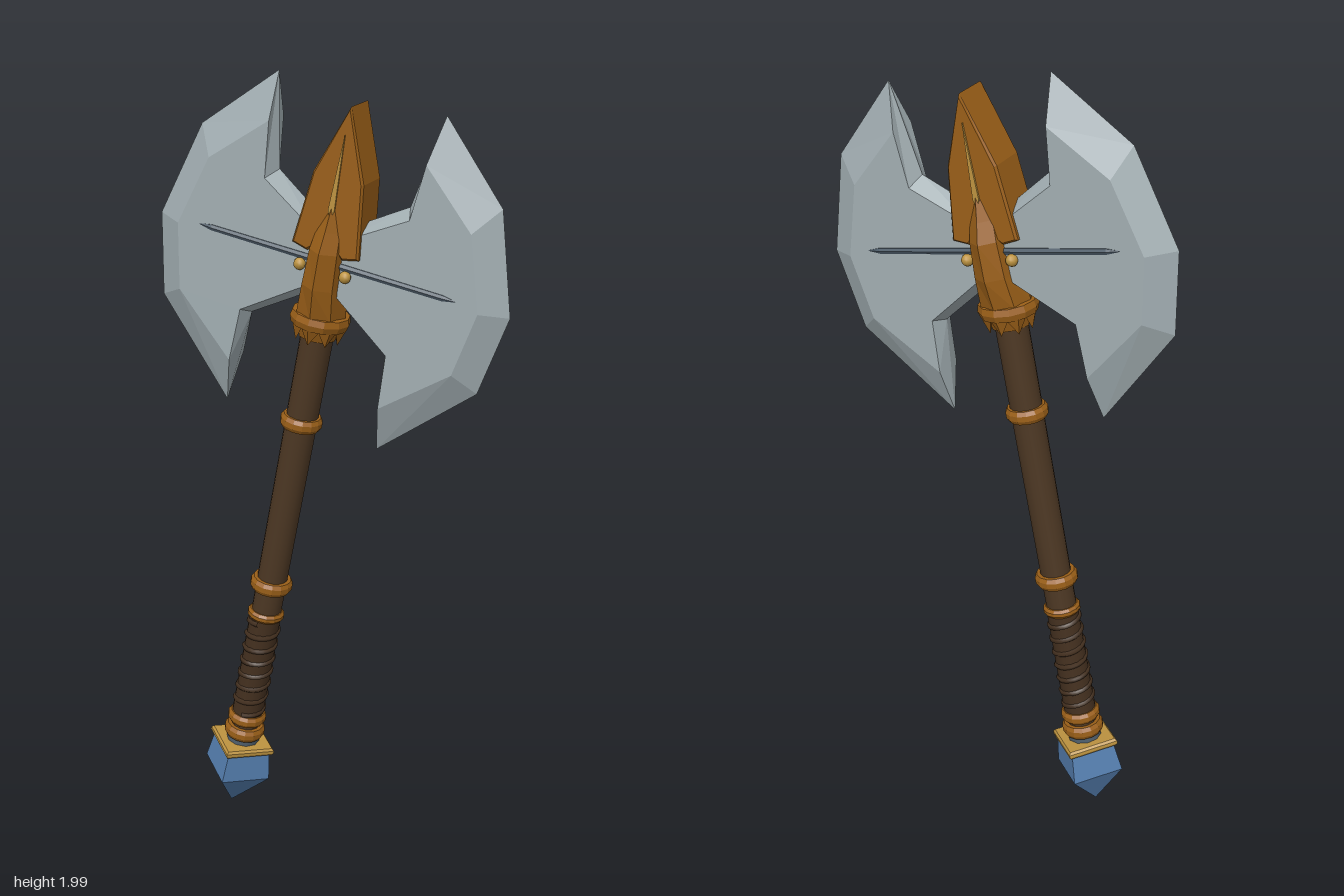
import * as THREE from 'three';

const mat = (name, color) => {
  const m = new THREE.MeshStandardMaterial({ color });
  m.name = name;
  return m;
};

// Faceted normals
function flat(geo) {
  const g = geo.index ? geo.toNonIndexed() : geo;
  g.computeVertexNormals();
  return g;
}

// Stacked rings [height, half width, half depth] with n sides
function loft(rings, n) {
  const geo = new THREE.LatheGeometry(rings.map(([y, rx]) => new THREE.Vector2(rx, y)), n);
  const p = geo.attributes.position;
  for (let i = 0; i < p.count; i++) {
    const [, rx, rz = rx] = rings[i % rings.length];
    if (rx > 0) p.setZ(i, p.getZ(i) * rz / rx);
  }
  return flat(geo);
}

// Axe blade: sharp rim on the middle plane, flat cheeks on both sides
function bladeGeometry() {
  const rim = [[0.21, 1.981], [0.384, 1.81], [0.457, 1.567], [0.42, 1.364], [0.205, 1.146],
    [0.178, 1.39], [0.03, 1.49], [0.03, 1.665], [0.168, 1.755]].reverse();
  const cheek = [[0.198, 1.87], [0.335, 1.745], [0.39, 1.567], [0.36, 1.405], [0.2, 1.266],
    [0.193, 1.402], [0.03, 1.515], [0.03, 1.64], [0.185, 1.735]].reverse();
  const pos = [];
  const tris = THREE.ShapeUtils.triangulateShape(cheek.map(c => new THREE.Vector2(...c)), []);
  for (const s of [1, -1]) {
    const face = (a, b, c) => pos.push(...a, ...(s > 0 ? b : c), ...(s > 0 ? c : b));
    const C = cheek.map(([x, y]) => [x, y, 0.042 * s]);
    const R = rim.map(([x, y]) => [x, y, 0]);
    for (const [a, b, c] of tris) face(C[a], C[b], C[c]);
    for (let i = 0; i < R.length; i++) {
      const j = (i + 1) % R.length;
      face(R[i], R[j], C[j]);
      face(R[i], C[j], C[i]);
    }
  }
  const geo = new THREE.BufferGeometry();
  geo.setAttribute('position', new THREE.Float32BufferAttribute(pos, 3));
  geo.computeVertexNormals();
  return geo;
}

export function createModel() {
  const steel = mat('steel', 0xa2aeb2);
  const darkSteel = mat('dark steel', 0x4d5c69);
  const bronze = mat('bronze', 0x9a5f18);
  const gold = mat('gold', 0xbd9340);
  const wood = mat('wood', 0x4c3723);
  const leather = mat('leather', 0x44301f);
  const gemBlue = mat('gem blue', 0x557fb0);

  const axe = new THREE.Group();
  axe.name = 'axe';
  const add = (name, geo, material, x = 0, y = 0, z = 0, parent = axe) => {
    const m = new THREE.Mesh(geo, material);
    m.name = name;
    m.position.set(x, y, z);
    parent.add(m);
    return m;
  };

  // Shaft and wrapped grip
  add('shaft', new THREE.CylinderGeometry(0.041, 0.038, 1.2, 14), wood, 0, 0.8, 0);
  add('grip', new THREE.CylinderGeometry(0.041, 0.042, 0.32, 14), leather, 0, 0.44, 0);
  const coil = [];
  for (let i = 0; i <= 96; i++) {
    const t = i / 96, a = t * 7 * Math.PI * 2;
    coil.push(new THREE.Vector3(0.039 * Math.sin(a), 0.3 + 0.28 * t, 0.039 * Math.cos(a)));
  }
  add('gripWrap', new THREE.TubeGeometry(new THREE.CatmullRomCurve3(coil), 168, 0.008, 5), leather);

  // Shaft rings: [height, radius, thickness]
  for (const [y, r, h] of [[1.154, 0.053, 0.034], [0.69, 0.055, 0.034], [0.6, 0.048, 0.024],
    [0.28, 0.051, 0.03], [0.238, 0.054, 0.034]]) {
    add('ring', loft([[-h / 2, 0.036], [-h / 2, r - 0.006], [-h / 5, r], [h / 5, r],
      [h / 2, r - 0.006], [h / 2, 0.036]], 14), bronze, 0, y, 0);
  }

  // Pommel: neck, square plate and gem
  add('pommelNeck', new THREE.CylinderGeometry(0.042, 0.046, 0.04, 10), darkSteel, 0, 0.212, 0);
  add('pommelPlate', loft([[0.186, 0], [0.186, 0.09], [0.192, 0.095], [0.2, 0.095],
    [0.206, 0.088], [0.206, 0]], 4), gold);
  add('pommelGem', loft([[0, 0], [0.11, 0.095], [0.19, 0.082], [0.19, 0]], 4), gemBlue);

  // Head socket and collar
  add('socket', loft([[1.38, 0.046, 0.048], [1.44, 0.064, 0.07], [1.52, 0.056, 0.088],
    [1.61, 0.05, 0.09], [1.66, 0.042, 0.075], [1.74, 0.02, 0.055]], 8), bronze);
  add('collar', loft([[1.405, 0.05], [1.412, 0.07], [1.428, 0.075], [1.444, 0.071], [1.45, 0.05]], 12), bronze);
  for (let i = 0; i < 8; i++) {
    const a = i * Math.PI / 4;
    const tooth = add('collarTooth', loft([[-0.04, 0], [0, 0.024, 0.014], [0.004, 0]], 4), bronze,
      0.055 * Math.sin(a), 1.412, 0.055 * Math.cos(a));
    tooth.rotation.y = a;
  }

  // Spear-shaped crown
  const crown = new THREE.Shape([[0, 1.955], [-0.064, 1.787], [-0.086, 1.61], [-0.045, 1.6],
    [0, 1.64], [0.045, 1.6], [0.086, 1.61], [0.064, 1.787]].map(c => new THREE.Vector2(...c)));
  add('crown', flat(new THREE.ExtrudeGeometry(crown, { depth: 0.1, bevelEnabled: true,
    bevelThickness: 0.006, bevelSize: 0.005, bevelOffset: -0.005, bevelSegments: 1 })),
  bronze, 0, 0, -0.05);

  // Gold inlay and rivets on both faces
  const inlay = new THREE.Shape([[0, 1.89], [-0.008, 1.71], [0, 1.69], [0.008, 1.71]]
    .map(c => new THREE.Vector2(...c)));
  for (const s of [1, -1]) {
    add('crownInlay', new THREE.ExtrudeGeometry(inlay, { depth: 0.006, bevelEnabled: false }),
      gold, 0, 0, s > 0 ? 0.055 : -0.061);
    for (const x of [-0.059, 0.059]) {
      add('rivet', new THREE.SphereGeometry(0.015, 10, 8), gold, x, 1.561, 0.048 * s);
    }
  }

  // Twin blades with a raised spine on each cheek
  const bladeGeo = bladeGeometry();
  for (const side of [1, -1]) {
    const blade = new THREE.Group();
    blade.name = side > 0 ? 'leftBlade' : 'rightBlade';
    add('bladeBody', bladeGeo, steel, 0, 0, 0, blade);
    for (const z of [0.041, -0.041]) {
      const spine = add('bladeSpine', loft([[0, 0.009, 0.008], [0.26, 0.008, 0.007], [0.3, 0, 0]], 6),
        darkSteel, 0.04, 1.581, z, blade);
      spine.rotation.z = -Math.PI / 2;
    }
    if (side < 0) blade.rotation.y = Math.PI;
    axe.add(blade);
  }

  // Lean the whole axe
  axe.rotation.z = -0.19;
  axe.position.set(-0.3, 0.01, 0);
  const model = new THREE.Group();
  model.name = 'battleAxe';
  model.add(axe);
  return model;
}
